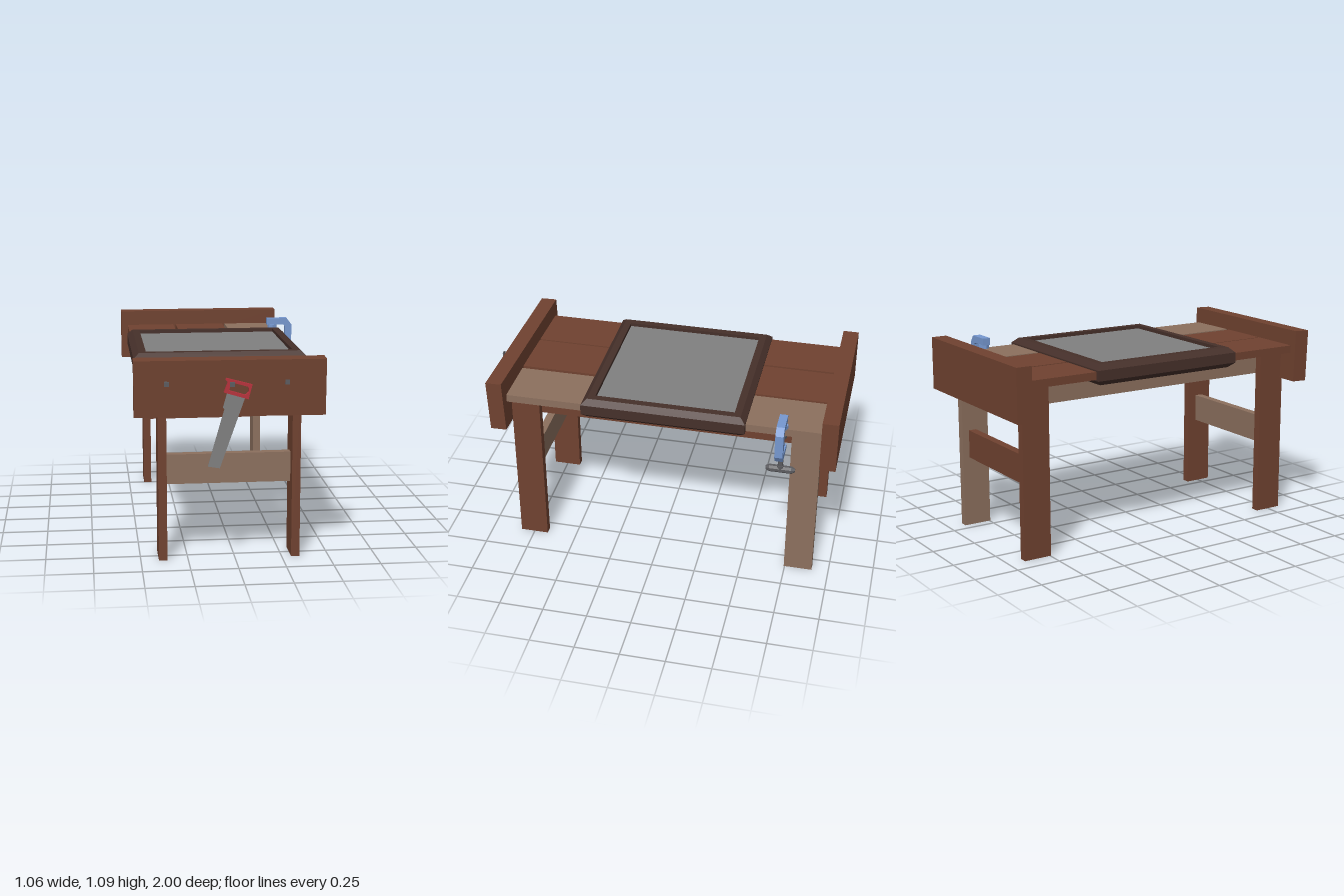
import * as THREE from 'three';

const mat = (color) => new THREE.MeshStandardMaterial({ color, flatShading: true });
const DARK = mat(0x704230), LIGHT = mat(0x8c705e), FRAME = mat(0x46302a);
const GREY = mat(0x808080), STEEL = mat(0x5c5c60), RED = mat(0xb8323c), BLUE = mat(0x7698d0);

export function createModel() {
  const model = new THREE.Group();

  const add = (name, geometry, material, x = 0, y = 0, z = 0, parent = model) => {
    const mesh = new THREE.Mesh(geometry, material);
    mesh.name = name;
    mesh.position.set(x, y, z);
    parent.add(mesh);
    return mesh;
  };
  // Box given by its limits on each axis
  const box = (name, material, [x0, x1], [y0, y1], [z0, z1], parent) =>
    add(name, new THREE.BoxGeometry(x1 - x0, y1 - y0, z1 - z0), material,
      (x0 + x1) / 2, (y0 + y1) / 2, (z0 + z1) / 2, parent);
  // Flat polygon extruded along z, centred on the given z
  const plate = (name, material, outline, depth, z, parent, hole) => {
    const pts = (list) => list.map(([x, y]) => new THREE.Vector2(x, y));
    const shape = new THREE.Shape(pts(outline));
    if (hole) shape.holes.push(new THREE.Path(pts(hole)));
    const geo = new THREE.ExtrudeGeometry(shape, { depth, bevelEnabled: false });
    return add(name, geo, material, 0, 0, z - depth / 2, parent);
  };
  const lathe = (profile, sides, start = 0) =>
    new THREE.LatheGeometry(profile.map(([r, y]) => new THREE.Vector2(r, y)), sides, start);

  // Legs, one replaced with lighter timber
  const legX = { left: [0.3, 0.345], right: [-0.405, -0.36] };
  for (const side of ['left', 'right']) {
    box(side + 'FrontLeg', DARK, legX[side], [0, 0.955], [0.67, 0.83]);
    box(side + 'BackLeg', side === 'left' ? LIGHT : DARK, legX[side], [0, 0.955], [-0.905, -0.745]);
  }

  // Aprons on the inner faces of the legs, and the low stretchers
  box('leftApron', DARK, [0.255, 0.3], [0.83, 0.955], [-0.905, 0.83]);
  box('rightApron', LIGHT, [-0.36, -0.315], [0.83, 0.955], [-0.905, 0.83]);
  box('frontStretcher', LIGHT, [-0.36, 0.3], [0.4, 0.56], [0.725, 0.77]);
  box('backStretcher', DARK, [-0.36, 0.3], [0.4, 0.56], [-0.865, -0.82]);

  // Top planks, set a little unevenly
  [[-0.345, DARK, 0.29, 0], [-0.038, DARK, 0.298, -0.004], [0.275, LIGHT, 0.29, 0]]
    .forEach(([x, material, width, turn]) => {
      const plank = add('topPlank', new THREE.BoxGeometry(width, 0.043, 1.74), material, x, 0.9765, -0.04);
      plank.rotation.y = turn;
    });

  // End boards; the front one hangs slightly crooked
  box('backEndBoard', DARK, [-0.53, 0.457], [0.79, 1.085], [-1, -0.912]);
  const frontBoard = add('frontEndBoard', new THREE.BoxGeometry(0.987, 0.294, 0.09), DARK, -0.036, 0.938, 0.872);
  frontBoard.rotation.set(0.035, -0.02, 0);

  // Tray with chamfered rim: a four-sided lathe stretched to the right size
  const tray = new THREE.Group();
  tray.name = 'tray';
  tray.position.set(-0.032, 0, -0.05);
  model.add(tray);
  const rim = add('trayFrame', lathe([
    [0, 0.92], [0.935, 0.92], [1, 0.948], [1, 1.006], [0.935, 1.034], [0.85, 1.034], [0.85, 1.008],
  ], 4, Math.PI / 4), FRAME, 0, 0, 0, tray);
  rim.scale.set(0.476 * Math.SQRT2, 1, 0.4525 * Math.SQRT2);
  box('trayPanel', GREY, [-0.408, 0.408], [0.99, 1.015], [-0.388, 0.388], tray);

  // Pegs on the front board
  [[-0.366, 0.968], [-0.036, 1], [0.251, 0.96]].forEach(([x, end]) => {
    const peg = new THREE.Group();
    peg.name = 'peg';
    model.add(peg);
    box('pegShaft', STEEL, [x - 0.006, x + 0.006], [0.966, 0.978], [0.87, end], peg);
    box('pegHead', STEEL, [x - 0.012, x + 0.012], [0.96, 0.984], [end - 0.008, end], peg);
  });

  // Hand saw hanging from the middle peg
  const saw = new THREE.Group();
  saw.name = 'saw';
  model.add(saw);
  plate('sawBlade', GREY, [
    [-0.157, 0.54], [-0.096, 0.529], [0.033, 0.895], [-0.058, 0.922], [-0.08, 0.845], [-0.072, 0.838],
  ], 0.008, 0.957, saw);
  plate('sawHandle', RED, [
    [-0.075, 0.925], [0.05, 0.888], [0.07, 0.963], [-0.062, 0.998], [-0.066, 0.99], [-0.055, 0.978],
  ], 0.02, 0.957, saw, [
    [-0.05, 0.935], [0.034, 0.91], [0.052, 0.925], [0.05, 0.952], [-0.036, 0.977],
  ]);

  // C-clamp gripping the plank edge
  const clamp = new THREE.Group();
  clamp.name = 'clamp';
  model.add(clamp);
  const cx = 0.41, cz = -0.7;
  plate('clampFrame', BLUE, [
    [0.375, 1.06], [0.5, 1.06], [0.53, 1.02], [0.53, 0.885], [0.505, 0.845], [0.375, 0.845],
    [0.375, 0.877], [0.48, 0.877], [0.489, 0.888], [0.489, 1.01], [0.48, 1.02], [0.375, 1.02],
  ], 0.044, cz, clamp);
  const rod = (name, r, y0, y1, material) =>
    add(name, new THREE.CylinderGeometry(r, r, y1 - y0, 8), material, cx, (y0 + y1) / 2, cz, clamp);
  rod('upperPad', 0.03, 0.998, 1.02, BLUE);
  rod('lowerPad', 0.026, 0.938, 0.955, STEEL);
  rod('screw', 0.014, 0.73, 0.94, STEEL);
  rod('screwCollar', 0.02, 0.74, 0.755, STEEL);
  const bar = add('clampHandle', lathe([
    [0, -0.08], [0.011, -0.08], [0.021, -0.06], [0.021, 0.06], [0.011, 0.08], [0, 0.08],
  ], 8, Math.PI / 8), STEEL, cx, 0.731, cz, clamp);
  bar.rotation.x = Math.PI / 2;

  return model;
}
